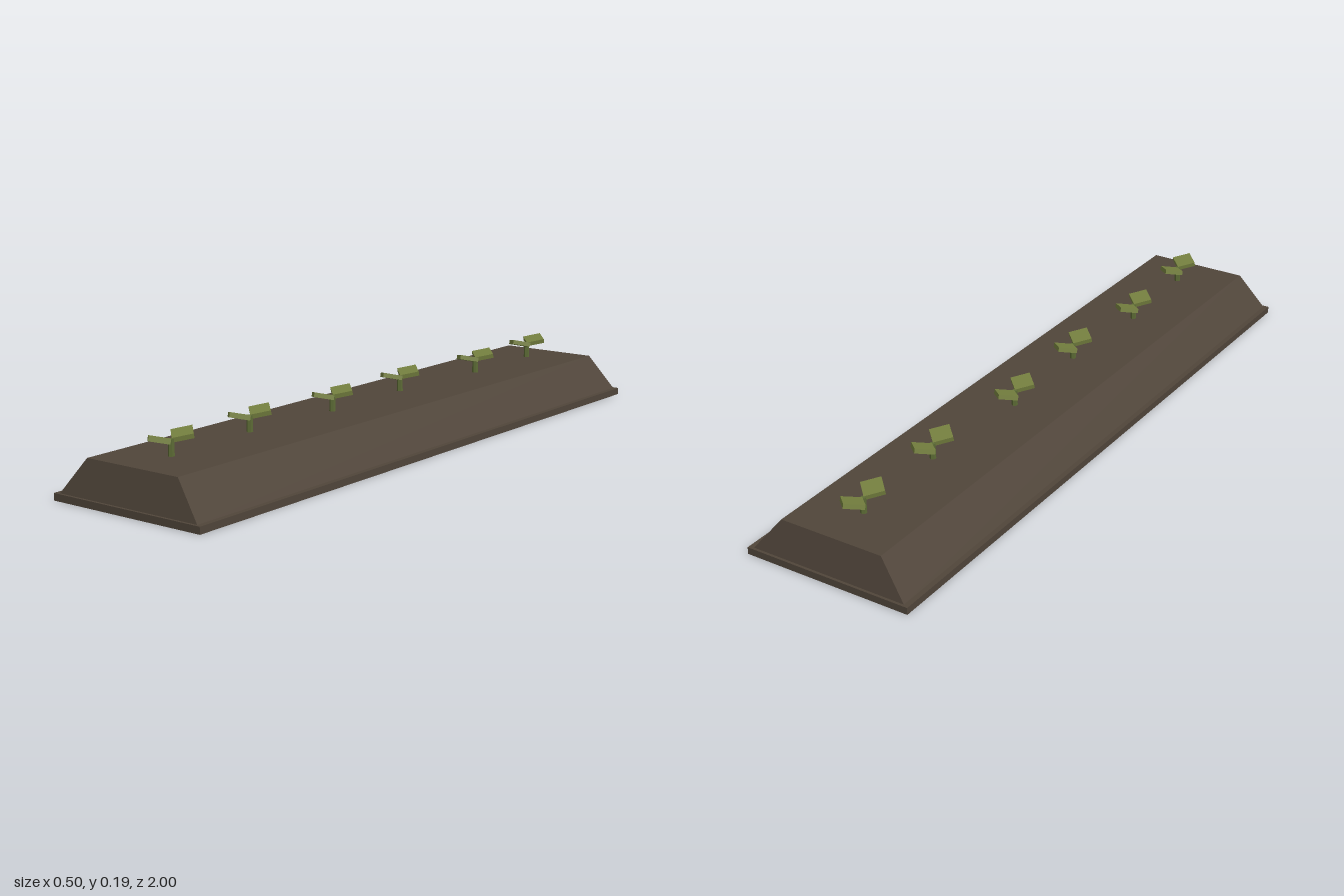
import * as THREE from 'three';

const soil = new THREE.MeshStandardMaterial({ color: 0x50453a, flatShading: true });
soil.name = 'soil brown';
const leafGreen = new THREE.MeshStandardMaterial({ color: 0x75803f, flatShading: true });
leafGreen.name = 'leaf green';
const stemGreen = new THREE.MeshStandardMaterial({ color: 0x5c6b35, flatShading: true });
stemGreen.name = 'stem green';

function part(name, geometry, material, parent) {
  const mesh = new THREE.Mesh(geometry, material);
  mesh.name = name;
  parent.add(mesh);
  return mesh;
}

// Box whose top face is narrowed to a smaller rectangle
function taperedBox(w, h, d, topW, topD) {
  const g = new THREE.BoxGeometry(w, h, d);
  const p = g.attributes.position;
  for (let i = 0; i < p.count; i++) {
    if (p.getY(i) > 0) {
      p.setX(i, Math.sign(p.getX(i)) * topW / 2);
      p.setZ(i, Math.sign(p.getZ(i)) * topD / 2);
    }
  }
  g.computeVertexNormals();
  return g;
}

// Short stem with two diamond leaves tilted up and outward
function createSprout() {
  const sprout = new THREE.Group();
  sprout.name = 'sprout';
  const stem = part('stem', new THREE.CylinderGeometry(0.008, 0.009, 0.045, 6), stemGreen, sprout);
  stem.position.y = 0.0225;
  for (const side of [1, -1]) {
    const geometry = new THREE.BoxGeometry(0.056, 0.013, 0.056).rotateY(Math.PI / 4);
    const leaf = part(side > 0 ? 'frontLeaf' : 'backLeaf', geometry, leafGreen, sprout);
    leaf.position.set(0, 0.05, side * 0.042);
    leaf.rotation.x = -side * 0.26;
  }
  return sprout;
}

export function createModel() {
  const model = new THREE.Group();
  model.name = 'plantedSoilRow';

  // Flat footing and the raised bed on it
  part('footing', new THREE.BoxGeometry(0.5, 0.02, 2), soil, model).position.y = 0.01;
  part('mound', taperedBox(0.47, 0.1, 1.985, 0.31, 1.942), soil, model).position.y = 0.07;

  // Row of sprouts, each slightly off the centre line: [x, z]
  const spots = [[0, 0.83], [-0.018, 0.51], [0, 0.18], [-0.012, -0.155], [0.01, -0.52], [0, -0.835]];
  for (const [x, z] of spots) {
    const sprout = createSprout();
    sprout.position.set(x, 0.12, z);
    model.add(sprout);
  }
  return model;
}
